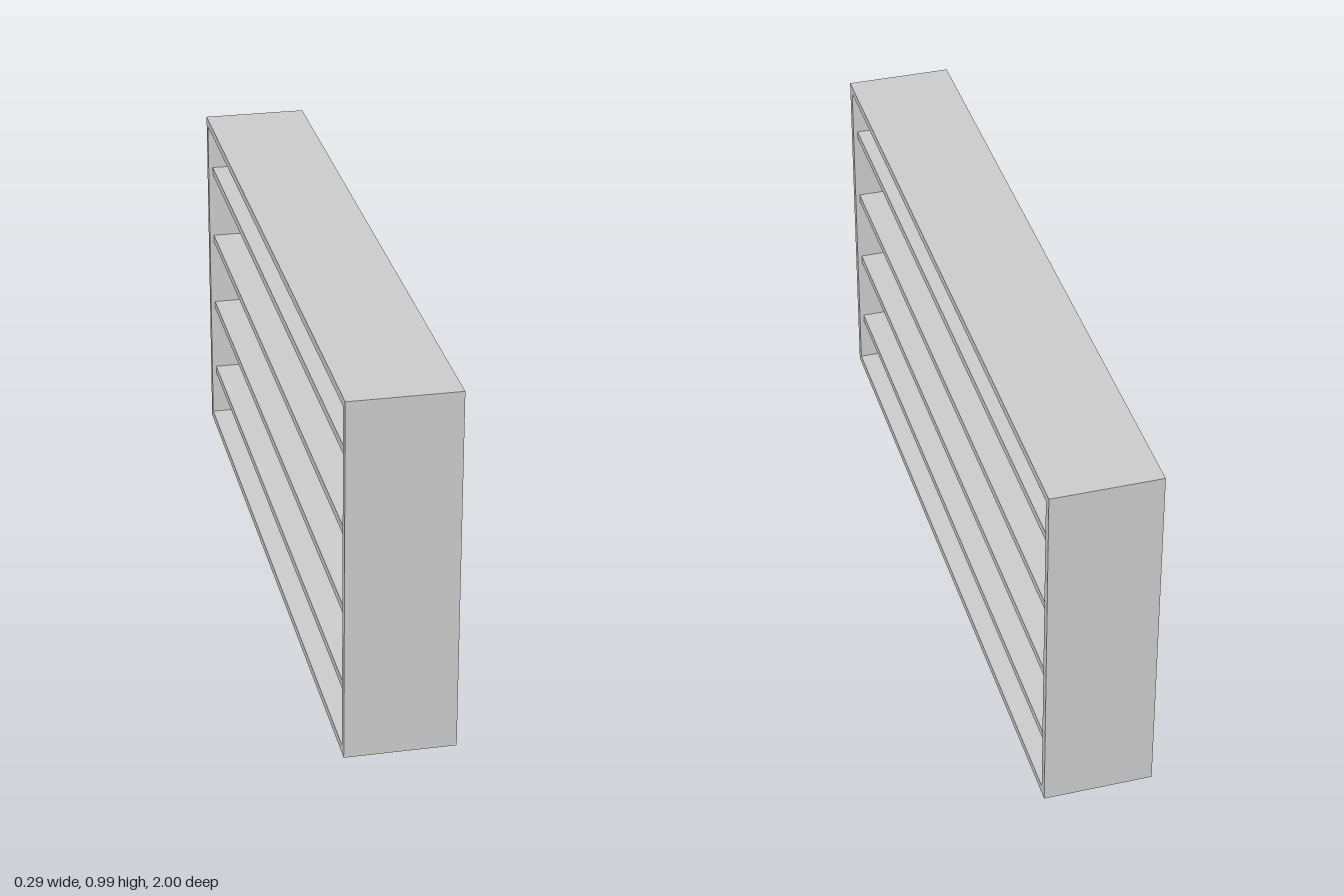
import * as THREE from 'three';

const LENGTH = 2, HEIGHT = 0.985, DEPTH = 0.29;
const BOARD = 0.023;      // frame and shelf thickness
const PANEL = 0.046;      // central divider thickness
const RECESS = 0.012;     // shelf edge set back from the frame face
const SHELF_GAP = 0.2185; // spacing between shelf centres

export function createModel() {
  const group = new THREE.Group();
  const material = new THREE.MeshStandardMaterial({ color: 0xcccccc, flatShading: true });
  const innerLength = LENGTH - 2 * BOARD;
  const innerHeight = HEIGHT - 2 * BOARD;

  const add = (name, geometry, x, y, z) => {
    const mesh = new THREE.Mesh(geometry, material);
    mesh.name = name;
    mesh.position.set(x, y, z);
    group.add(mesh);
    return mesh;
  };

  const rectangle = (path, w, h) => path
    .moveTo(-w / 2, -h / 2).lineTo(w / 2, -h / 2)
    .lineTo(w / 2, h / 2).lineTo(-w / 2, h / 2).closePath();

  // Outer frame, open on both broad sides
  const outline = new THREE.Shape();
  const opening = new THREE.Path();
  rectangle(outline, LENGTH, HEIGHT);
  rectangle(opening, innerLength, innerHeight);
  outline.holes.push(opening);
  const frame = new THREE.ExtrudeGeometry(outline, { depth: DEPTH, bevelEnabled: false });
  frame.translate(0, 0, -DEPTH / 2).rotateY(Math.PI / 2);
  add('frame', frame, 0, HEIGHT / 2, 0);

  // Divider panel down the middle
  add('dividerPanel', new THREE.BoxGeometry(PANEL, innerHeight, innerLength), 0, HEIGHT / 2, 0);

  // Four shelves on each side of the divider
  const shelfDepth = DEPTH / 2 - RECESS - PANEL / 2;
  const shelf = new THREE.BoxGeometry(shelfDepth, BOARD, innerLength);
  for (const [side, label] of [[1, 'left'], [-1, 'right']]) {
    for (let i = 0; i < 4; i++) {
      add(`${label}Shelf${i + 1}`, shelf,
        side * (PANEL / 2 + shelfDepth / 2), HEIGHT / 2 + (i - 1.5) * SHELF_GAP, 0);
    }
  }
  return group;
}
